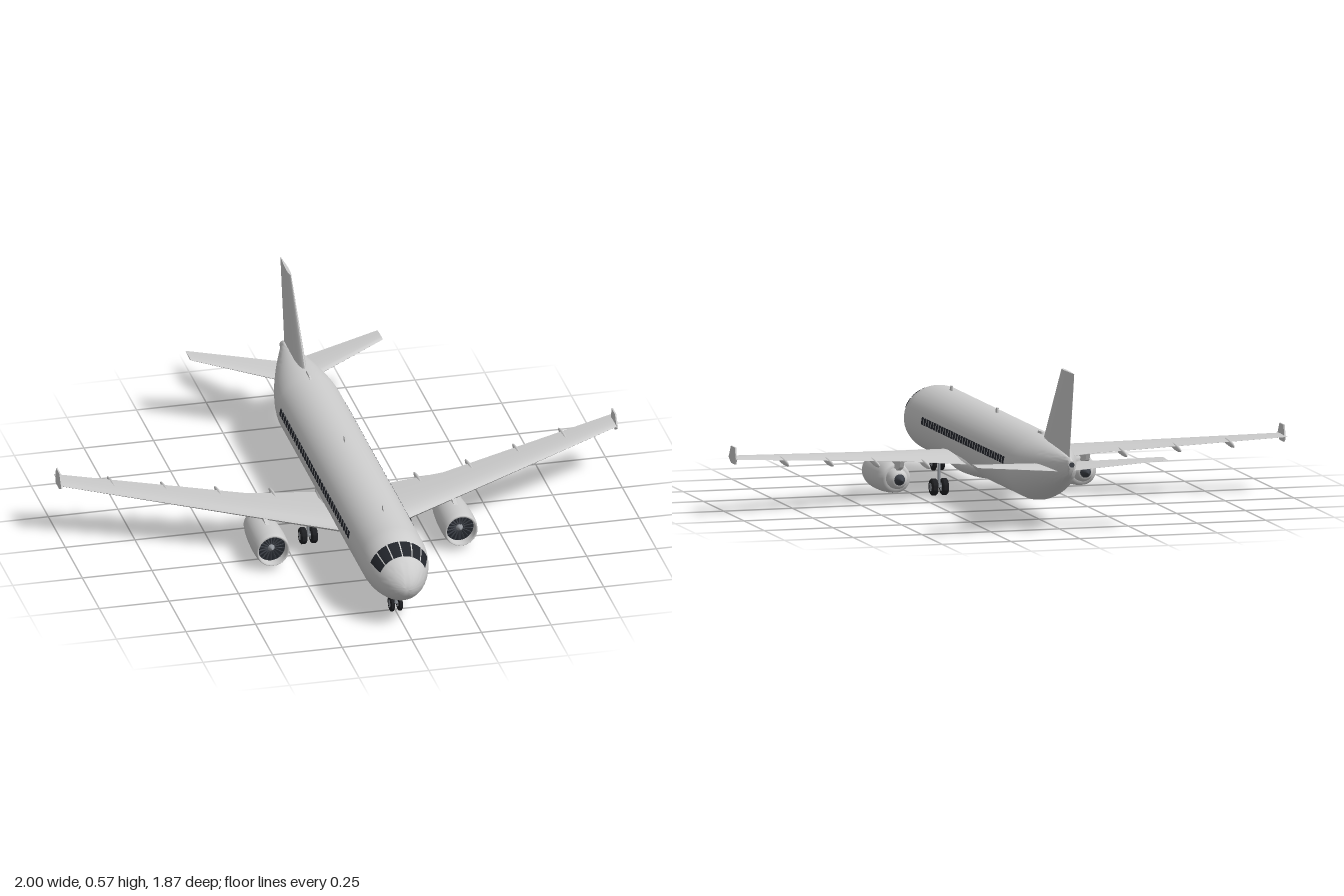
import * as THREE from 'three';
import { toCreasedNormals } from 'three/addons/utils/BufferGeometryUtils.js';

const paint = (name, color) => Object.assign(new THREE.MeshStandardMaterial({ color }), { name });
const R = 0.118, MID = 0.1865;

// Fuselage cross-section at a given z: centre height and half sizes
function hull(z) {
  if (z > 0.72) {
    const t = Math.min(1, (z - 0.72) / 0.215), r = R * Math.pow(1 - t * t, 0.55);
    return { cy: MID - 0.0215 * Math.pow(t, 1.5), rx: r, ry: r };
  }
  if (z < -0.5) {
    const s = Math.min(1, (-0.5 - z) / 0.41);
    const top = 0.305 - 0.043 * s * s, bottom = 0.068 + 0.15 * Math.pow(s, 1.3);
    return { cy: (top + bottom) / 2, rx: Math.max(0.009, R * (1 - Math.pow(s, 1.5))), ry: (top - bottom) / 2 };
  }
  return { cy: MID, rx: R, ry: R };
}
function hullPoint(z, a, lift = 0) {
  const h = hull(z);
  return [Math.cos(a) * (h.rx + lift), h.cy + Math.sin(a) * (h.ry + lift), z];
}

// Closed skin over equal-length rings of points, always facing outwards
function loft(rings, crease = 0.7) {
  const n = rings[0].length, pos = rings.flat(2), idx = [];
  for (let i = 0; i < rings.length - 1; i++)
    for (let j = 0; j < n; j++) {
      const a = i * n + j, b = i * n + (j + 1) % n;
      idx.push(a, b, b + n, a, b + n, a + n);
    }
  const last = (rings.length - 1) * n;
  for (let j = 1; j < n - 1; j++) idx.push(0, j + 1, j, last, last + j, last + j + 1);
  const v = (k) => new THREE.Vector3().fromArray(pos, k * 3);
  let volume = 0;
  for (let k = 0; k < idx.length; k += 3) volume += v(idx[k]).dot(v(idx[k + 1]).cross(v(idx[k + 2])));
  if (volume < 0) idx.reverse();
  const g = new THREE.BufferGeometry();
  g.setAttribute('position', new THREE.Float32BufferAttribute(pos, 3));
  g.setIndex(idx);
  return toCreasedNormals(g, crease);
}

// Aerofoil: chord fraction from the leading edge, half-thickness fraction
const FOIL = [[0, 0], [0.03, 0.45], [0.12, 0.85], [0.3, 1], [0.6, 0.7], [1, 0.04],
  [1, -0.04], [0.6, -0.7], [0.3, -1], [0.12, -0.85], [0.03, -0.45]];
// Each station: span position, height, leading z, trailing z, thickness
const wingSkin = (stations, side) => loft(stations.map(([x, y, le, te, t]) =>
  FOIL.map(([c, h]) => [side * x, y + h * t / 2, le + (te - le) * c])));

// Flat plate from a (z, y) outline
function plate(points, thick, x = 0) {
  const shape = new THREE.Shape(points.map((p) => new THREE.Vector2(...p)));
  return new THREE.ExtrudeGeometry(shape, { depth: thick, bevelEnabled: false })
    .rotateY(-Math.PI / 2).translate(x + thick / 2, 0, 0);
}
// Turned part around the z axis from (radius, z) pairs
const turned = (points, x, y) => new THREE.LatheGeometry(points.map((p) => new THREE.Vector2(...p)), 36)
  .rotateX(Math.PI / 2).translate(x, y, 0);

export function createModel() {
  const model = new THREE.Group();
  model.name = 'airliner';
  const body = paint('light grey', 0xcccccc);
  const glass = paint('dark glass', 0x23262c);
  const tyre = paint('tyre black', 0x1e1f22);
  const dark = paint('dark metal', 0x3c4047);
  const steel = paint('steel', 0x8e9298);
  const add = (name, geometry, material = body, parent = model) => {
    const m = new THREE.Mesh(geometry, material);
    m.name = name;
    parent.add(m);
    return m;
  };

  // Fuselage with rounded nose and upswept tail cone
  const zs = [];
  for (let i = 0; i <= 14; i++) zs.push(0.72 + 0.2149 * Math.sin(i / 14 * Math.PI / 2));
  zs.reverse();
  for (let i = 0; i <= 16; i++) zs.push(-0.5 - 0.38 * i / 16);
  const ring = (z) => Array.from({ length: 48 }, (_, j) => hullPoint(z, j / 48 * Math.PI * 2));
  const tailEnd = Array.from({ length: 48 }, (_, j) => {
    const a = j / 48 * Math.PI * 2;
    return [Math.cos(a) * 0.011, 0.246 + Math.sin(a) * 0.013, -0.9];
  });
  add('fuselage', loft([...zs.map(ring), tailEnd], 0.8));
  add('tailExhaust', new THREE.CylinderGeometry(0.009, 0.009, 0.012, 20).rotateX(Math.PI / 2).translate(0, 0.246, -0.9), dark);
  add('bellyFairing', new THREE.SphereGeometry(1, 32, 20).scale(0.122, 0.052, 0.27).translate(0, 0.117, 0.14));

  // Cockpit windows wrapped over the nose
  const span = 140 / 6;
  for (let k = 0; k < 6; k++) {
    const a0 = (20 + k * span + 1.3) * Math.PI / 180, a1 = (20 + (k + 1) * span - 1.3) * Math.PI / 180;
    const pos = [], idx = [], N = 6;
    for (let i = 0; i <= N; i++)
      for (let j = 0; j <= N; j++)
        pos.push(...hullPoint(0.866 - 0.059 * i / N, a0 + (a1 - a0) * j / N, 0.002));
    for (let i = 0; i < N; i++)
      for (let j = 0; j < N; j++) {
        const a = i * (N + 1) + j, b = a + N + 1;
        idx.push(a, a + 1, b, a + 1, b + 1, b);
      }
    const g = new THREE.BufferGeometry();
    g.setAttribute('position', new THREE.Float32BufferAttribute(pos, 3));
    g.setIndex(idx.reverse());
    g.computeVertexNormals();
    add('cockpitWindow', g, glass).material.side = THREE.DoubleSide;
  }

  // Cabin windows
  for (const s of [-1, 1])
    for (let i = 0; i < 34; i++) {
      const w = add('cabinWindow', new THREE.BoxGeometry(0.005, 0.025, 0.018), glass);
      w.position.set(s * 0.1155, 0.207, 0.545 - i * 0.0301);
      w.rotation.z = s * 0.17;
    }

  // Fin, lofted upwards
  add('fin', loft([[0.25, -0.535, -0.872, 0.032], [0.305, -0.575, -0.88, 0.03], [0.57, -0.78, -0.932, 0.012]]
    .map(([y, le, te, t]) => FOIL.map(([c, h]) => [h * t / 2, y, le + (te - le) * c]))));

  // Aerials along the spine and belly
  add('frontAerial', plate([[0.6, 0.3], [0.585, 0.322], [0.572, 0.322], [0.574, 0.3]], 0.006));
  add('middleAerial', plate([[0.035, 0.3], [0.022, 0.322], [0.009, 0.322], [0.011, 0.3]], 0.006));
  add('rearAerial', plate([[-0.48, 0.3], [-0.5, 0.313], [-0.54, 0.313], [-0.54, 0.3]], 0.006));
  add('bellyAerial', plate([[0.445, 0.075], [0.412, 0.075], [0.414, 0.05], [0.426, 0.05]], 0.006));

  // One wheel with hub, axle along x
  const wheel = (parent, x, z, r, w) => {
    const b = w / 2;
    const profile = [[0.5 * r, -b], [0.85 * r, -b], [r, -0.6 * b], [r, 0.6 * b], [0.85 * r, b], [0.5 * r, b]];
    const g = new THREE.LatheGeometry(profile.map((p) => new THREE.Vector2(...p)), 28);
    add('tyre', toCreasedNormals(g, 0.6).rotateZ(Math.PI / 2).translate(x, r, z), tyre, parent);
    add('hub', new THREE.CylinderGeometry(0.52 * r, 0.52 * r, w * 0.9, 20).rotateZ(Math.PI / 2).translate(x, r, z), steel, parent);
  };
  const gear = (name, x, z, gap, r, w, top) => {
    const g = new THREE.Group();
    g.name = name;
    model.add(g);
    wheel(g, x - gap, z, r, w);
    wheel(g, x + gap, z, r, w);
    add('axle', new THREE.CylinderGeometry(0.005, 0.005, gap * 2, 10).rotateZ(Math.PI / 2).translate(x, r, z), steel, g);
    add('strut', new THREE.CylinderGeometry(0.005, 0.005, top - r, 10).translate(x, (top + r) / 2, z), steel, g);
  };
  gear('noseGear', 0, 0.757, 0.0145, 0.029, 0.014, 0.09);

  for (const s of [-1, 1]) {
    // Wing, tip fence and tailplane
    add('wing', wingSkin([[0.05, 0.12, 0.364, 0.03, 0.046], [0.35, 0.146, 0.227, 0.025, 0.027],
      [1, 0.204, -0.07, -0.17, 0.008]], s));
    add('wingFence', plate([[-0.06, 0.2], [-0.088, 0.243], [-0.138, 0.243], [-0.148, 0.2], [-0.14, 0.183], [-0.09, 0.183]],
      0.005, s * 0.9975));
    add('tailplane', wingSkin([[0.01, 0.213, -0.645, -0.825, 0.02], [0.345, 0.251, -0.84, -0.917, 0.006]], s));

    // Flap track fairings under the trailing edge
    for (const [x, z] of [[0.26, 0.03], [0.45, 0.008], [0.632, -0.04], [0.81, -0.093]]) {
      const f = add('flapFairing', new THREE.SphereGeometry(1, 16, 12).scale(0.007, 0.011, 0.068));
      f.position.set(s * x, 0.112 + 0.089 * x - 0.003, z);
      f.rotation.x = -0.08;
    }

    // Engine: cowling, fan, spinner, core and plug
    const ex = s * 0.338, ey = 0.073, engine = new THREE.Group();
    engine.name = 'engine';
    model.add(engine);
    add('cowling', turned([[0.03, 0.12], [0.05, 0.115], [0.057, 0.16], [0.0615, 0.22], [0.063, 0.28], [0.0615, 0.325],
      [0.058, 0.345], [0.0545, 0.35], [0.051, 0.343], [0.05, 0.3]], ex, ey), body, engine);
    add('fanDisc', new THREE.CylinderGeometry(0.051, 0.051, 0.01, 36).rotateX(Math.PI / 2).translate(ex, ey, 0.31), glass, engine);
    for (let i = 0; i < 18; i++) {
      const b = add('fanBlade', new THREE.BoxGeometry(0.005, 0.038, 0.003).rotateY(0.5).translate(0, 0.03, 0), dark, engine);
      b.position.set(ex, ey, 0.316);
      b.rotation.z = i / 18 * Math.PI * 2;
    }
    add('spinner', new THREE.ConeGeometry(0.014, 0.024, 24).rotateX(Math.PI / 2).translate(ex, ey, 0.327), steel, engine);
    add('core', turned([[0.015, 0.075], [0.027, 0.075], [0.036, 0.1], [0.038, 0.135]], ex, ey), body, engine);
    add('plug', new THREE.ConeGeometry(0.024, 0.04, 24).rotateX(-Math.PI / 2).translate(ex, ey, 0.062), dark, engine);
    add('pylon', plate([[0.29, 0.128], [0.22, 0.148], [0.04, 0.142], [0.05, 0.12], [0.11, 0.095], [0.2, 0.11]], 0.014, ex), body, engine);

    gear('mainGear', s * 0.169, 0.165, 0.019, 0.03, 0.022, 0.125);
  }
  return model;
}
